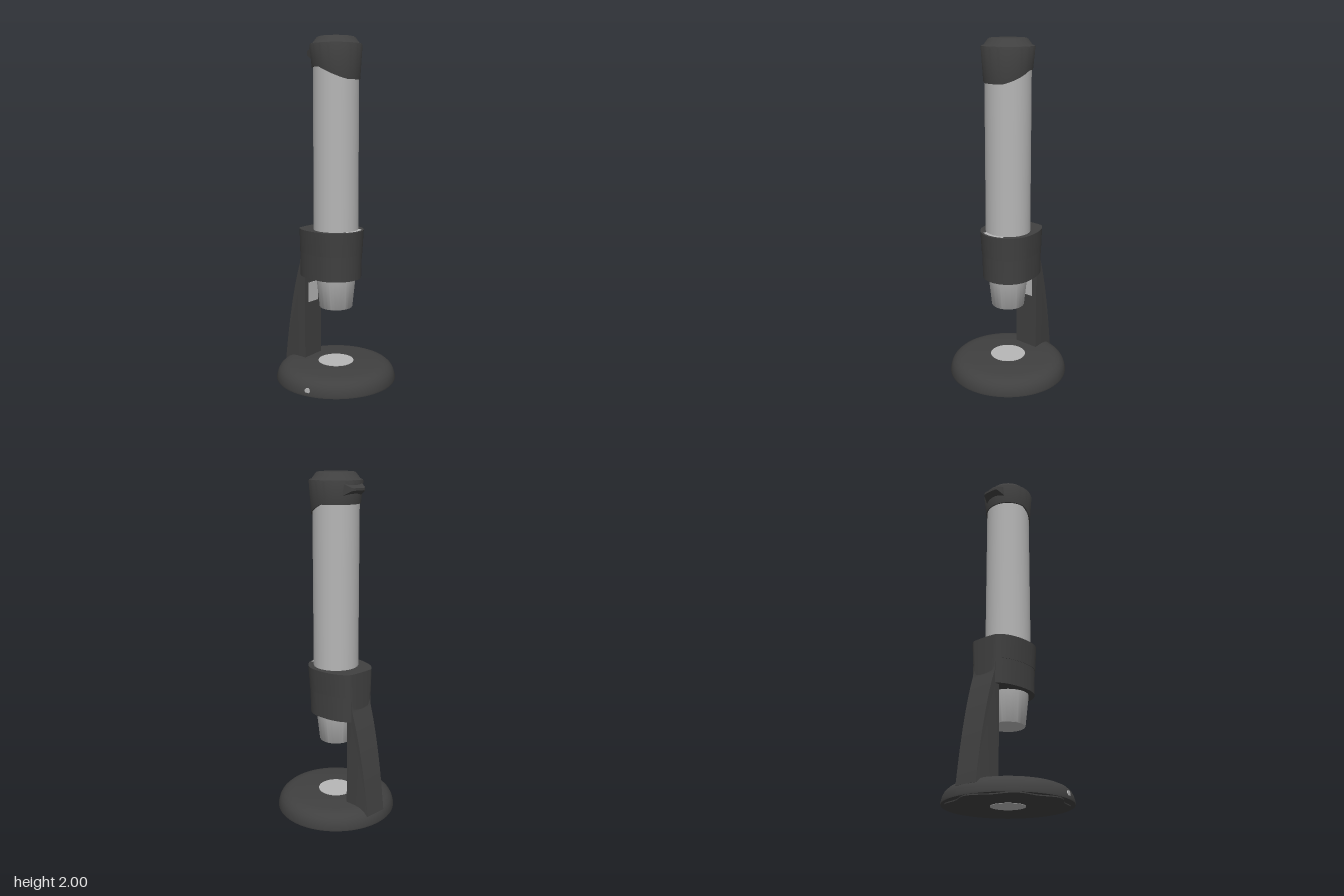
import * as THREE from 'three';
import { toCreasedNormals } from 'three/addons/utils/BufferGeometryUtils.js';

const { clamp } = THREE.MathUtils;

export function createModel() {
  const model = new THREE.Group();
  const dark = new THREE.MeshStandardMaterial({ color: 0x404040 });
  dark.name = 'charcoal plastic';
  const silver = new THREE.MeshStandardMaterial({ color: 0xb6b6b6 });
  silver.name = 'silver metal';

  function add(name, geometry, material) {
    const mesh = new THREE.Mesh(toCreasedNormals(geometry, 0.6), material);
    mesh.name = name;
    model.add(mesh);
    return mesh;
  }
  const lathe = (points) =>
    new THREE.LatheGeometry(points.map(([r, y]) => new THREE.Vector2(r, y)), 72);

  // Moves every vertex by a rule
  function reshape(geometry, rule) {
    const p = geometry.attributes.position;
    const v = new THREE.Vector3();
    for (let i = 0; i < p.count; i++) {
      rule(v.fromBufferAttribute(p, i));
      p.setXYZ(i, v.x, v.y, v.z);
    }
    return geometry;
  }

  // Extrudes a plan outline (x, -z) upward between two heights
  function raise(shape, y0, y1) {
    const g = new THREE.ExtrudeGeometry(shape, { depth: y1 - y0, bevelEnabled: false, curveSegments: 32 });
    return g.rotateX(-Math.PI / 2).translate(0, y0, 0);
  }

  // Round base with a sloping shoulder
  add('base', lathe([
    [0, 0.008], [0.34, 0.008], [0.354, 0.003], [0.355, 0.012], [0.346, 0.045],
    [0.335, 0.065], [0.315, 0.083], [0.29, 0.094], [0.255, 0.1], [0, 0.1],
  ]), dark);

  // Scalloped pad under the base
  const scallop = new THREE.Shape();
  for (let i = 0; i < 96; i++) {
    const a = (i / 96) * Math.PI * 2;
    const r = 0.318 + 0.016 * Math.cos(8 * a);
    scallop[i ? 'lineTo' : 'moveTo'](r * Math.cos(a), r * Math.sin(a));
  }
  add('footPad', raise(scallop, 0.002, 0.01), dark);

  // Silver discs on both faces of the base
  add('topDisc', new THREE.CylinderGeometry(0.105, 0.105, 0.006, 48).translate(0, 0.1, 0), silver);
  add('bottomDisc', new THREE.CylinderGeometry(0.095, 0.095, 0.006, 48).translate(0, 0.003, 0), silver);

  // Small port on the rim
  const port = add('port', new THREE.CylinderGeometry(0.016, 0.016, 0.02, 20).rotateZ(Math.PI / 2), silver);
  port.position.set(-0.337, 0.033, 0.057);
  port.rotation.y = 0.17;

  // Curved arm, drawn from the side
  const side = new THREE.Shape();
  side.moveTo(0.175, 0.07);
  side.lineTo(0.175, 0.74);
  side.lineTo(0.208, 0.74);
  side.lineTo(0.211, 0.69);
  side.quadraticCurveTo(0.292, 0.45, 0.338, 0.06);
  const arm = new THREE.ExtrudeGeometry(side, { depth: 0.156, bevelEnabled: false, curveSegments: 20 })
    .rotateY(Math.PI / 2).translate(-0.078, 0, 0);
  add('arm', reshape(arm, (v) => { v.x *= 1 - 0.14 * clamp((-v.z - 0.2) / 0.13, 0, 1); }), dark);
  add('armPlate', new THREE.BoxGeometry(0.09, 0.12, 0.006).translate(0, 0.5, -0.174), silver);

  // Collar: round in front, drawn out to the arm behind
  const ring = new THREE.Shape();
  ring.moveTo(0.08, 0.209);
  ring.bezierCurveTo(0.125, 0.185, 0.163, 0.11, 0.163, 0);
  ring.absarc(0, 0, 0.163, 0, Math.PI, true);
  ring.bezierCurveTo(-0.163, 0.11, -0.125, 0.185, -0.08, 0.209);
  ring.quadraticCurveTo(0, 0.219, 0.08, 0.209);
  function collar(name, y0, y1, s0, s1) {
    add(name, reshape(raise(ring, y0, y1), (v) => {
      const s = s0 + (s1 - s0) * (v.y - y0) / (y1 - y0);
      v.x *= s;
      if (v.z > 0) v.z *= s;
    }), dark);
  }
  collar('collarTop', 0.76, 0.9, 0.95, 1);
  collar('collarBottom', 0.615, 0.76, 0.915, 0.935);

  // Lining visible at the front of the collar
  add('collarLining', new THREE.RingGeometry(0.128, 0.153, 24, 1, -Math.PI / 2 - 0.52, 1.04)
    .rotateX(-Math.PI / 2).translate(0, 0.902, 0), silver);

  // Main tube and tapered nozzle
  add('tube', new THREE.CylinderGeometry(0.131, 0.131, 1.2, 72).translate(0, 1.3, 0), silver);
  add('nozzle', lathe([[0, 0.435], [0.094, 0.435], [0.097, 0.439], [0.119, 0.64], [0, 0.64]]), silver);

  // Cap whose lower edge dips toward the front
  const cap = lathe([
    [0.129, 1.83], [0.138, 1.83], [0.15, 1.95], [0.147, 1.958],
    [0.134, 1.963], [0.112, 1.992], [0.104, 1.998], [0.095, 2], [0, 2],
  ]);
  add('cap', reshape(cap, (v) => {
    if (v.y < 1.84) v.y -= 0.07 * clamp((v.z + 0.02) / 0.145, 0, 1);
  }), dark);

  // Wedge-shaped lip on the back of the cap
  const lip = new THREE.Shape();
  lip.moveTo(-0.076, 0.11);
  lip.lineTo(-0.054, 0.166);
  lip.quadraticCurveTo(-0.049, 0.178, -0.034, 0.179);
  lip.lineTo(0.034, 0.179);
  lip.quadraticCurveTo(0.049, 0.178, 0.054, 0.166);
  lip.lineTo(0.076, 0.11);
  add('lip', reshape(raise(lip, 0, 1), (v) => {
    const t = clamp((-v.z - 0.11) / 0.07, 0, 1);
    v.y = v.y > 0.5 ? 1.95 - 0.032 * t : 1.87 + 0.036 * t;
  }), dark);

  return model;
}
